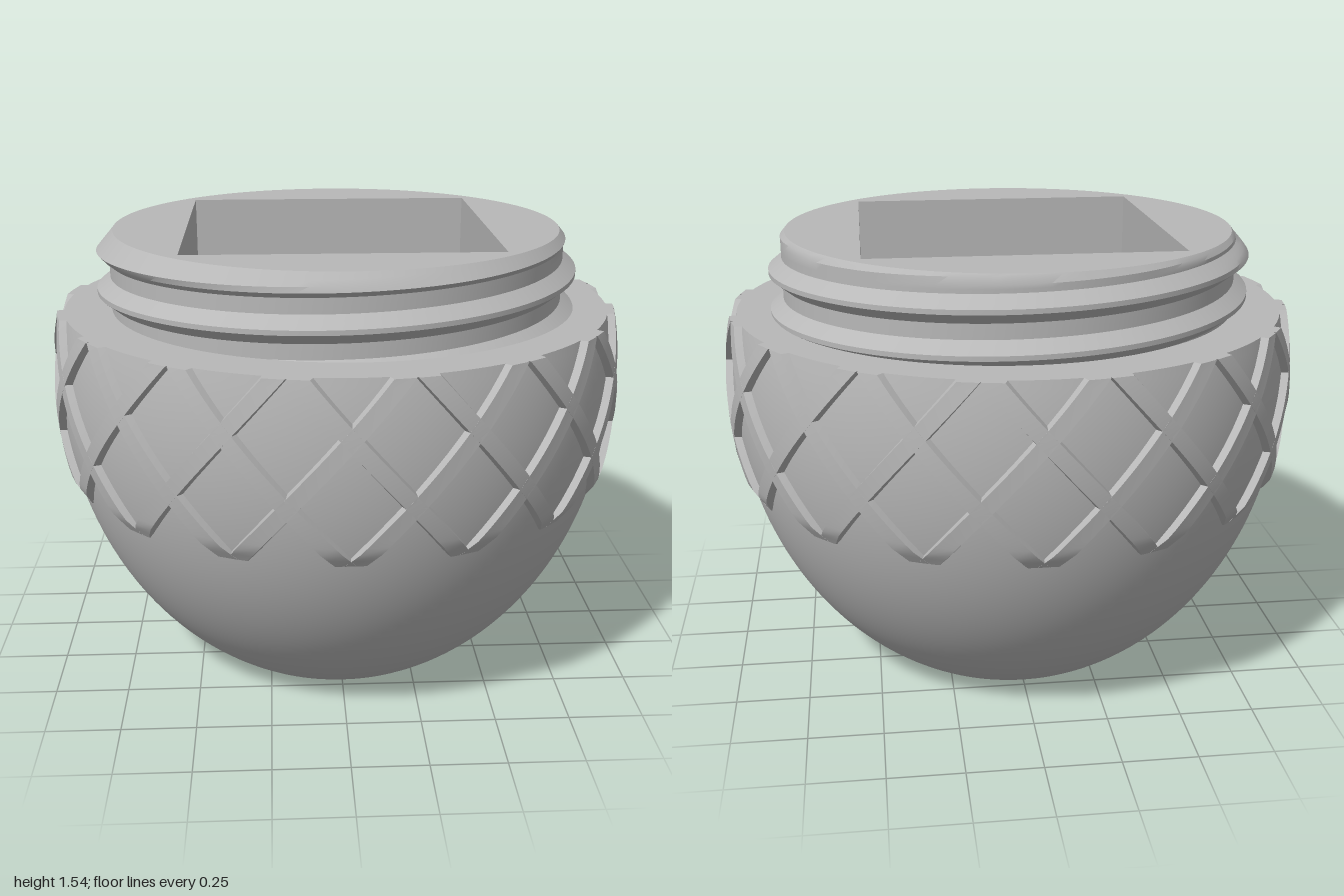
import * as THREE from 'three';
import { toCreasedNormals } from 'three/addons/utils/BufferGeometryUtils.js';

const SHOULDER = 1.27, TOP = 1.54, BAND_LOW = 0.67, HALF = 0.515, FLOOR = 0.51;
const { clamp } = THREE.MathUtils;

// Egg-shaped body: radius at a height
const bodyRadius = (y) => 0.975 * Math.sqrt(1 - ((y - 1) / 1.14) ** 2);

// Grid surface in cylindrical coordinates: fn(column, row) -> [angle, radius, y]
function cylinderGrid(cols, rows, fn) {
  const pos = [], idx = [];
  for (let j = 0; j <= rows; j++) {
    for (let i = 0; i <= cols; i++) {
      const [a, r, y] = fn(i, j);
      pos.push(r * Math.sin(a), y, r * Math.cos(a));
      if (i < cols && j < rows) {
        const p = j * (cols + 1) + i, q = p + cols + 1;
        idx.push(p, p + 1, q + 1, p, q + 1, q);
      }
    }
  }
  const g = new THREE.BufferGeometry();
  g.setAttribute('position', new THREE.Float32BufferAttribute(pos, 3));
  g.setIndex(idx);
  return toCreasedNormals(g, 0.5);
}

// One slanted rib of the lattice, with sloped flanks and closed flat ends
function ribGeometry(dir) {
  const steps = 24, halfWidth = 0.033, step = Math.PI / 16;
  return cylinderGrid(3, steps + 2, (i, j) => {
    const t = clamp((j - 1) / steps, 0, 1);
    const y = BAND_LOW + (SHOULDER - BAND_LOW) * t;
    const buried = i === 0 || i === 3 || j === 0 || j === steps + 2;
    const lift = buried ? -0.01 : Math.min(0.025, 0.004 + (y - BAND_LOW) * 0.4);
    const across = [-halfWidth - 0.009, -halfWidth, halfWidth, halfWidth + 0.009][i];
    const r = bodyRadius(y);
    return [dir * ((y - 0.652) / 0.22) * step + across / r, r + lift, y];
  });
}

// Neck with a helical thread, trimmed by a chamfer at the lip
function neckGeometry() {
  const pitch = 0.14, start = 1.337, turns = 5;
  const offsets = [-0.07, -0.045, -0.0265, -0.008, 0.008, 0.0205, 0.033, 0.045, 0.0575];
  const n = offsets.length;
  return cylinderGrid(128, turns * n, (i, j) => {
    const phi = (i / 128) * Math.PI * 2;
    const rise = start + pitch * phi / (Math.PI * 2);
    const turn = Math.floor(j / n) - 2;
    const y = clamp(rise + turn * pitch + offsets[j % n], 1.24, TOP);
    const d = Math.abs(y - rise - pitch * Math.round((y - rise) / pitch));
    const thread = 0.785 + 0.046 * clamp((0.045 - d) / 0.037, 0, 1);
    return [phi - Math.PI / 2, Math.min(thread, 0.77 + (TOP - y) * 0.85), y];
  });
}

export function createModel() {
  const model = new THREE.Group();
  model.name = 'jar';
  const grey = new THREE.MeshStandardMaterial({ color: 0xb8b8b8 });
  grey.name = 'grey';
  const add = (name, geometry, parent = model) => {
    const mesh = new THREE.Mesh(geometry, grey);
    mesh.name = name;
    parent.add(mesh);
    return mesh;
  };

  // Body with flat base and flat shoulder
  const profile = [new THREE.Vector2(0, 0)];
  for (let i = 0; i <= 48; i++) {
    const y = SHOULDER * i / 48;
    profile.push(new THREE.Vector2(bodyRadius(y), y));
  }
  profile.push(new THREE.Vector2(0.75, SHOULDER));
  add('body', toCreasedNormals(new THREE.LatheGeometry(profile, 128), 0.4));

  // Diamond lattice around the upper body
  const lattice = new THREE.Group();
  lattice.name = 'lattice';
  model.add(lattice);
  for (const dir of [-1, 1]) {
    const geometry = ribGeometry(dir);
    for (let k = 0; k < 16; k++) {
      add('latticeRib', geometry, lattice).rotation.y = k * Math.PI / 8;
    }
  }

  // Threaded neck
  add('threadedNeck', neckGeometry());

  // Lip with a square opening
  const lip = new THREE.Shape().absarc(0, 0, 0.77, 0, Math.PI * 2);
  lip.holes.push(new THREE.Path([[-1, -1], [-1, 1], [1, 1], [1, -1]]
    .map(([x, y]) => new THREE.Vector2(x * HALF, y * HALF))));
  add('lip', new THREE.ShapeGeometry(lip, 64).rotateX(-Math.PI / 2).translate(0, TOP, 0));

  // Square cavity: four inward walls and a floor
  const cavity = new THREE.Group();
  cavity.name = 'cavity';
  model.add(cavity);
  const wall = new THREE.PlaneGeometry(2 * HALF, TOP - FLOOR)
    .translate(0, (TOP + FLOOR) / 2, -HALF);
  for (let k = 0; k < 4; k++) add('cavityWall', wall, cavity).rotation.y = k * Math.PI / 2;
  add('cavityFloor', new THREE.PlaneGeometry(2 * HALF, 2 * HALF)
    .rotateX(-Math.PI / 2).translate(0, FLOOR, 0), cavity);

  return model;
}
